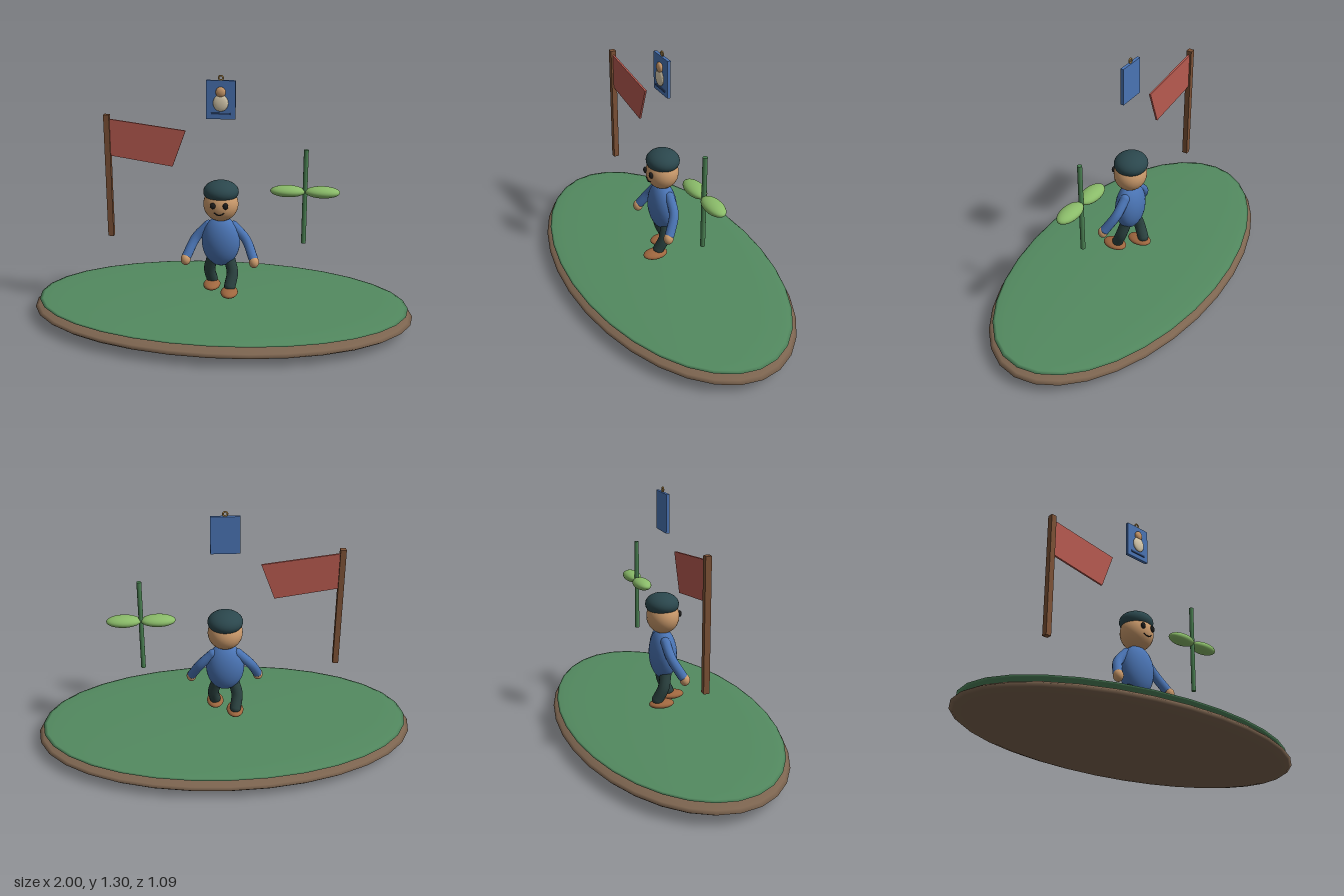
import * as THREE from 'three';

const COLORS = {
  earth: 0x7d6550, grass: 0x538a60, skin: 0xcc9b6c, cap: 0x2b474d, shirt: 0x4a74b4,
  trousers: 0x2b4240, shoe: 0x9f673f, dark: 0x1c1c1c, wood: 0x7d5236, cloth: 0xb85a50,
  stem: 0x4a8052, leaf: 0x8abb69, cream: 0xdccfb2, brass: 0xb98f4a, bar: 0x2f4a78,
};
const materials = {};
for (const [key, color] of Object.entries(COLORS)) {
  materials[key] = new THREE.MeshStandardMaterial({ color });
}

export function createModel() {
  const model = new THREE.Group();
  model.name = 'islandScene';

  function add(parent, name, geometry, material, x = 0, y = 0, z = 0) {
    const mesh = new THREE.Mesh(geometry, materials[material]);
    mesh.name = name;
    mesh.position.set(x, y, z);
    parent.add(mesh);
    return mesh;
  }
  function ellipsoid(parent, name, material, [x, y, z], [rx, ry, rz], segments = 24) {
    const geometry = new THREE.SphereGeometry(1, segments, 16).scale(rx, ry, rz);
    return add(parent, name, geometry, material, x, y, z);
  }
  function limb(parent, name, material, points, radius) {
    const curve = new THREE.CatmullRomCurve3(points.map((p) => new THREE.Vector3(...p)));
    add(parent, name, new THREE.TubeGeometry(curve, 16, radius, 12), material);
    // Rounded ends
    for (const p of [points[0], points[points.length - 1]]) {
      ellipsoid(parent, name + 'End', material, p, [radius, radius, radius], 12);
    }
  }
  function group(name) {
    const g = new THREE.Group();
    g.name = name;
    model.add(g);
    return g;
  }

  // Ground: earth disc with a thinner grass disc on top
  const island = group('island');
  ellipsoid(island, 'earth', 'earth', [0, 0.06, 0], [1, 0.06, 0.545], 32);
  ellipsoid(island, 'grass', 'grass', [0, 0.104, 0], [0.975, 0.019, 0.524], 32);

  // Walking figure
  const figure = group('figure');
  ellipsoid(figure, 'torso', 'shirt', [0, 0.437, 0], [0.1, 0.135, 0.07]);
  ellipsoid(figure, 'head', 'skin', [0, 0.64, 0], [0.09, 0.09, 0.084]);
  ellipsoid(figure, 'cap', 'cap', [0, 0.705, -0.004], [0.091, 0.057, 0.086]);
  for (const side of [-1, 1]) {
    ellipsoid(figure, 'eye', 'dark', [side * 0.032, 0.653, 0.08], [0.014, 0.017, 0.01], 12);
    limb(figure, 'arm', 'shirt',
      [[side * 0.065, 0.52, -0.01], [side * 0.13, 0.45, 0], [side * 0.172, 0.365, 0.045]], 0.025);
    ellipsoid(figure, 'hand', 'skin', [side * 0.177, 0.348, 0.055], [0.026, 0.031, 0.026], 16);
    // The left leg steps forward, the right leg back
    limb(figure, 'leg', 'trousers',
      [[side * 0.045, 0.34, 0], [side * 0.062, 0.27, side * 0.018], [side * 0.052, 0.205, side * 0.047]], 0.03);
    ellipsoid(figure, 'shoe', 'shoe', [side * 0.051, 0.179, 0.021 + side * 0.046], [0.045, 0.022, 0.067], 20);
  }
  const smile = new THREE.CatmullRomCurve3(
    [[-0.026, 0.616, 0.077], [-0.013, 0.607, 0.079], [0, 0.604, 0.08], [0.013, 0.607, 0.079], [0.026, 0.616, 0.077]]
      .map((p) => new THREE.Vector3(...p)));
  add(figure, 'mouth', new THREE.TubeGeometry(smile, 12, 0.003, 6), 'dark');

  // Flag with a slanted cloth
  const flag = group('flag');
  add(flag, 'flagPole', new THREE.BoxGeometry(0.029, 0.645, 0.029), 'wood', -0.577, 0.767, 0);
  const outline = new THREE.Shape([[-0.565, 0.878], [-0.246, 0.83], [-0.177, 1.017], [-0.565, 1.067]]
    .map((p) => new THREE.Vector2(...p)));
  add(flag, 'flagCloth',
    new THREE.ExtrudeGeometry(outline, { depth: 0.01, bevelEnabled: false }), 'cloth', 0, 0, -0.005);

  // Plant: stem with a pair of leaves
  const plant = group('plant');
  add(plant, 'stem', new THREE.CylinderGeometry(0.012, 0.012, 0.492, 12), 'stem', 0.425, 0.691, 0);
  for (const side of [-1, 1]) {
    ellipsoid(plant, 'leaf', 'leaf', [0.425 + side * 0.087, 0.72, 0], [0.088, 0.029, 0.046]);
  }

  // Hanging plaque with a small relief figure
  const plaque = group('plaque');
  add(plaque, 'board', new THREE.BoxGeometry(0.145, 0.192, 0.016), 'shirt', 0, 1.178, 0);
  add(plaque, 'hangingRing', new THREE.TorusGeometry(0.011, 0.004, 8, 20), 'brass', 0, 1.286, 0);
  ellipsoid(plaque, 'reliefHead', 'skin', [0, 1.218, 0.014], [0.025, 0.026, 0.013], 16);
  ellipsoid(plaque, 'reliefBody', 'cream', [0, 1.164, 0.014], [0.038, 0.042, 0.011], 16);
  add(plaque, 'reliefBar', new THREE.BoxGeometry(0.095, 0.009, 0.006), 'bar', 0, 1.11, 0.01);

  return model;
}
